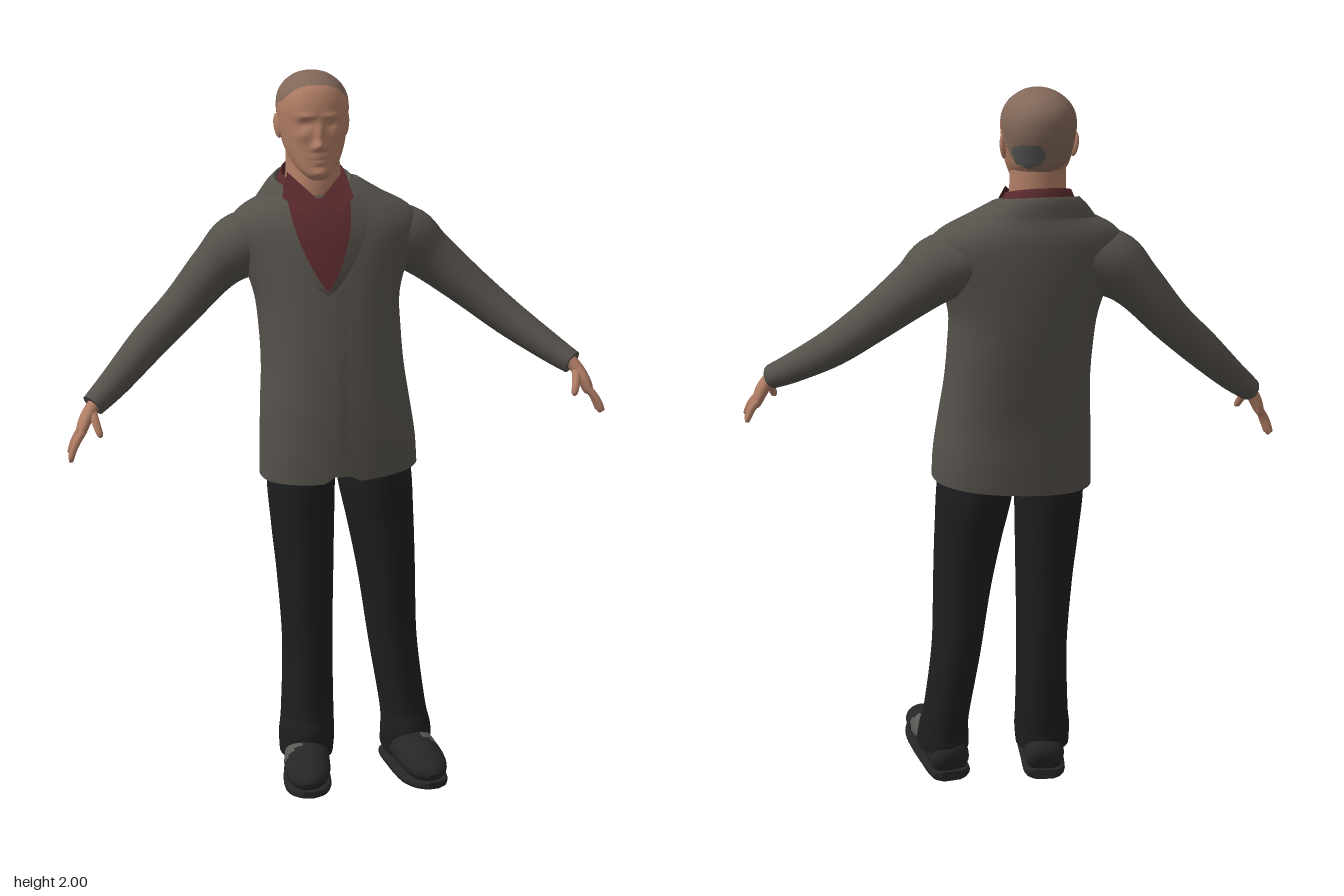
import * as THREE from 'three';

const V = (x, y, z) => new THREE.Vector3(x, y, z);
const mat = (name, color, side = THREE.FrontSide) =>
  Object.assign(new THREE.MeshStandardMaterial({ color, side }), { name });

// Smooth resampling of a table of cross-sections
function smooth(rows, n) {
  const out = [], m = rows.length - 1;
  for (let k = 0; k <= n; k++) {
    const s = (k / n) * m, i = Math.min(Math.floor(s), m - 1), t = s - i;
    const p = (j) => rows[Math.max(0, Math.min(m, j))];
    out.push(rows[0].map((_, c) => {
      const a = p(i - 1)[c], b = p(i)[c], d = p(i + 1)[c], e = p(i + 2)[c];
      return b + 0.5 * t * (d - a + t * (2 * a - 5 * b + 4 * d - e + t * (3 * (b - d) + e - a)));
    }));
  }
  return out;
}

// Linear lookup in a table sorted by its first column
function lookup(rows, key) {
  let i = 0;
  while (i < rows.length - 2 && rows[i + 1][0] < key) i++;
  const a = rows[i], b = rows[i + 1];
  const t = THREE.MathUtils.clamp((key - a[0]) / (b[0] - a[0]), 0, 1);
  return a.map((v, c) => v + (b[c] - v) * t);
}

// Skin over rings of points; pick chooses a material from the face centre
function skin(name, rings, materials, { closed = true, pick = () => 0 } = {}) {
  const n = rings[0].length, pts = rings.flat(), mats = [materials].flat();
  const faces = mats.map(() => []);
  const cols = closed ? n : n - 1;
  for (let i = 0; i < rings.length - 1; i++) for (let j = 0; j < cols; j++) {
    const a = i * n + j, b = i * n + (j + 1) % n, c = b + n, d = a + n;
    const mid = V(0, 0, 0).add(pts[a]).add(pts[b]).add(pts[c]).add(pts[d]).multiplyScalar(0.25);
    faces[pick(mid)].push(a, b, c, a, c, d);
  }
  if (closed) [rings[0], rings[rings.length - 1]].forEach((ring, end) => {
    const base = pts.length, mid = V(0, 0, 0);
    ring.forEach((p) => { pts.push(p); mid.addScaledVector(p, 1 / n); });
    pts.push(mid);
    const m = pick(mid);
    for (let j = 0; j < n; j++) {
      const a = base + j, b = base + (j + 1) % n;
      faces[m].push(base + n, ...(end ? [a, b] : [b, a]));
    }
  });
  const geo = new THREE.BufferGeometry().setFromPoints(pts);
  geo.setIndex(faces.flat());
  let start = 0;
  faces.forEach((f, i) => { geo.addGroup(start, f.length, i); start += f.length; });
  geo.computeVertexNormals();
  const mesh = new THREE.Mesh(geo, mats.length > 1 ? mats : mats[0]);
  mesh.name = name;
  return mesh;
}

// Rings along a path; rows are [x, y, z, radius along ref, radius across]
function limb(rows, n, seg, ref = V(0, 0, 1), map = (p) => p) {
  const r = smooth(rows, n), c = r.map((q) => V(q[0], q[1], q[2]));
  return r.map((q, i) => {
    const t = c[Math.min(i + 1, n)].clone().sub(c[Math.max(i - 1, 0)]).normalize();
    const u = ref.clone().addScaledVector(t, -ref.dot(t)).normalize(), v = t.clone().cross(u);
    return Array.from({ length: seg }, (_, j) => {
      const a = (j / seg) * Math.PI * 2;
      return map(c[i].clone().addScaledVector(u, q[3] * Math.cos(a)).addScaledVector(v, q[4] * Math.sin(a)));
    });
  });
}

// Horizontal rings; rows are [y, xMin, xMax, zBack, zFront, squareness]
const power = (c, e) => Math.sign(c) * Math.abs(c) ** e;
const stack = (rows, seg, map) => rows.map(([y, x0, x1, z0, z1, e], i) =>
  Array.from({ length: seg }, (_, j) => {
    const a = (j / seg) * Math.PI * 2;
    return map(V((x0 + x1) / 2 + (x1 - x0) / 2 * power(Math.sin(a), e), y,
      (z0 + z1) / 2 + (z1 - z0) / 2 * power(Math.cos(a), e)), i);
  }));

// Open sheet from a function of two parameters
const sheet = (name, m, nu, nv, fn) => skin(name,
  Array.from({ length: nv + 1 }, (_, i) => Array.from({ length: nu + 1 }, (_, j) => fn(j / nu, i / nv))),
  m, { closed: false });

export function createModel() {
  const g = new THREE.Group();
  g.name = 'standingMan';
  const jacket = mat('jacketGrey', 0x55514b, THREE.DoubleSide);
  const shirt = mat('shirtRed', 0x5a2a2d, THREE.DoubleSide);
  const trousers = mat('trouserBlack', 0x1d1e1f);
  const flesh = mat('skin', 0xb07d65);
  const hair = mat('hairBrown', 0x82685a);
  const leather = mat('shoeBlack', 0x262627);
  const grey = mat('patchGrey', 0x585855);
  const cx = -0.04;

  // Jacket body with a notched hem
  const body = smooth([
    [0.91, -0.205, 0.235, -0.215, 0.12, 0.87], [1.0, -0.203, 0.23, -0.22, 0.12, 0.87], [1.1, -0.2, 0.215, -0.225, 0.115, 0.87],
    [1.2, -0.195, 0.2, -0.24, 0.105, 0.87], [1.3, -0.198, 0.193, -0.255, 0.09, 0.87], [1.4, -0.21, 0.193, -0.265, 0.07, 0.89],
    [1.5, -0.245, 0.225, -0.27, 0.045, 0.95], [1.58, -0.275, 0.258, -0.268, 0.018, 1], [1.63, -0.245, 0.225, -0.262, -0.008, 1],
    [1.67, -0.175, 0.15, -0.248, -0.037, 1], [1.705, -0.135, 0.09, -0.235, -0.078, 1]], 40);
  g.add(skin('jacketBody', stack(body, 96, (p, i) => {
    if (i === 0) {
      p.y = 0.895 + 0.07 * (p.x + 0.2);
      if (p.z > 0) p.y += 0.04 * Math.max(0, 1 - Math.abs(p.x) / 0.045);
    }
    return p;
  }), jacket));

  // Point on the jacket front, raised by a small offset
  const front = (x, y, off) => {
    const [, x0, x1, z0, z1, e] = lookup(body, y), n = 2 / e;
    const d = Math.min(0.99, Math.abs((x - (x0 + x1) / 2) / ((x1 - x0) / 2)));
    return V(x, y, (z0 + z1) / 2 + (z1 - z0) / 2 * (1 - d ** n) ** (1 / n) + off);
  };
  const opening = (v) => 0.088 * Math.sin(v * Math.PI / 2) ** 0.85;
  const middle = (v) => -0.03 * (1 - v) + cx * v;
  g.add(sheet('shirtFront', shirt, 16, 20, (u, v) =>
    front(middle(v) + (u * 2 - 1) * opening(v), 1.43 + 0.24 * v, 0.004)));
  g.add(sheet('jacketFrontEdge', jacket, 4, 24, (u, v) =>
    front(0.03 * u - 0.012, 0.98 + 0.45 * v, 0.003 * (1 - u))));
  for (const s of [-1, 1]) {
    g.add(sheet('lapel', jacket, 6, 20, (u, v) => front(
      middle(v) + s * (opening(v) - 0.004 + u * (0.008 + 0.05 * v ** 0.6)),
      1.425 + 0.25 * v, 0.012 - 0.008 * u)));
    // Shirt collar points
    const a = V(cx + s * 0.008, 1.672, -0.03), b = V(cx + s * 0.078, 1.735, -0.088);
    const c = front(cx + s * 0.05, 1.632, 0.018), d = front(cx + s * 0.096, 1.672, 0.018);
    g.add(sheet('shirtCollarPoint', shirt, 4, 4, (u, v) =>
      a.clone().lerp(b, u).lerp(c.clone().lerp(d, u), v)));
  }

  // Collars wrapped around the neck, lower at the front
  const collar = (name, m, rows, cz, tilt, gap) => g.add(sheet(name, m, 40, 8, (u, v) => {
    const [, y, rx, rz] = lookup(rows.map((r, i) => [i / (rows.length - 1), ...r]), v);
    const a = gap + u * (Math.PI * 2 - 2 * gap);
    return V(cx + rx * Math.sin(a), y - tilt * Math.cos(a), cz + rz * Math.cos(a));
  }));
  collar('shirtCollar', shirt, [[1.67, 0.112, 0.104], [1.728, 0.087, 0.089], [1.712, 0.08, 0.083]], -0.14, 0.026, 0.8);
  collar('jacketCollar', jacket,
    [[1.655, 0.155, 0.11], [1.692, 0.128, 0.107], [1.714, 0.105, 0.098], [1.7, 0.098, 0.094]], -0.145, 0.022, 0.95);

  // Sleeves
  const sleeves = [
    [[-0.1, 1.575, -0.135, 0.1, 0.06], [-0.23, 1.53, -0.142, 0.1, 0.09], [-0.31, 1.465, -0.153, 0.078, 0.07],
      [-0.4, 1.365, -0.15, 0.065, 0.058], [-0.5, 1.27, -0.12, 0.058, 0.052], [-0.6, 1.175, -0.065, 0.046, 0.042],
      [-0.665, 1.12, -0.03, 0.038, 0.033]],
    [[0.08, 1.575, -0.135, 0.1, 0.06], [0.21, 1.538, -0.138, 0.1, 0.088], [0.29, 1.48, -0.135, 0.08, 0.072],
      [0.4, 1.39, -0.105, 0.066, 0.058], [0.5, 1.31, -0.06, 0.058, 0.05], [0.6, 1.24, 0.01, 0.045, 0.04],
      [0.655, 1.205, 0.055, 0.037, 0.033]]];
  sleeves.forEach((rows, i) => g.add(skin(i ? 'leftSleeve' : 'rightSleeve', limb(rows, 36, 28), jacket)));

  // Hands: palm, four spread fingers and a thumb
  const hand = (name, s, x, y, z, k) => {
    const h = new THREE.Group();
    h.name = name;
    h.position.set(x, y, z);
    h.add(skin('palm', limb([[-s * 0.02, 0.025, -0.01, 0.02, 0.016], [s * 0.01, -0.012, 0.006, 0.026, 0.018],
      [s * 0.03, -0.045, 0.018, 0.037, 0.017], [s * 0.042, -0.075, 0.026, 0.037, 0.013],
      [s * 0.046, -0.083, 0.028, 0.028, 0.006]], 14, 16), flesh));
    for (let f = -1.5; f <= 1.5; f++) {
      const len = k * (1 - 0.08 * f * f), bz = 0.024 + f * 0.018, tz = 0.033 + f * 0.023;
      h.add(skin('finger', limb([[s * 0.036, -0.063, bz, 0.01, 0.01], [s * 0.058, -0.07 - len * 0.4, (bz + tz) / 2 + 0.003, 0.009, 0.009],
        [s * 0.071, -0.07 - len * 0.92, tz, 0.0075, 0.007], [s * 0.072, -0.07 - len, tz, 0.002, 0.002]], 9, 10), flesh));
    }
    h.add(skin('thumb', limb([[s * 0.008, -0.02, 0.02, 0.014, 0.013], [0, -0.045, 0.05, 0.011, 0.011],
      [-s * 0.008, -0.07, 0.066, 0.009, 0.009], [-s * 0.009, -0.078, 0.069, 0.002, 0.002]], 9, 10), flesh));
    g.add(h);
  };
  hand('rightHand', -1, -0.66, 1.125, -0.03, 0.082);
  hand('leftHand', 1, 0.655, 1.205, 0.055, 0.066);

  // Trouser legs
  const legs = [
    [[-0.07, 1.0, -0.05, 0.12, 0.09], [-0.09, 0.9, -0.045, 0.135, 0.095], [-0.088, 0.75, -0.035, 0.118, 0.088],
      [-0.083, 0.6, -0.025, 0.105, 0.079], [-0.078, 0.4, -0.022, 0.094, 0.071], [-0.081, 0.2, -0.008, 0.086, 0.075],
      [-0.085, 0.13, 0.005, 0.092, 0.079], [-0.086, 0.075, 0.004, 0.086, 0.076]],
    [[0.1, 1.0, -0.05, 0.12, 0.09], [0.115, 0.9, -0.045, 0.14, 0.104], [0.134, 0.75, -0.032, 0.122, 0.093],
      [0.15, 0.6, -0.022, 0.108, 0.081], [0.168, 0.4, -0.018, 0.097, 0.069], [0.195, 0.2, 0, 0.086, 0.065],
      [0.202, 0.13, 0.013, 0.093, 0.072], [0.202, 0.085, 0.011, 0.088, 0.071]]];
  legs.forEach((rows, i) => g.add(skin(i ? 'leftTrouserLeg' : 'rightTrouserLeg', limb(rows, 48, 32), trousers)));

  // Shoes with soles and grey outer panels
  const last = [[0, 0.055, -0.077, 0.02, 0.03], [0, 0.06, -0.055, 0.055, 0.055], [0, 0.075, 0.03, 0.062, 0.06],
    [0, 0.073, 0.11, 0.052, 0.064], [0, 0.06, 0.19, 0.04, 0.062], [0, 0.05, 0.245, 0.026, 0.043], [0, 0.045, 0.268, 0.008, 0.014]];
  const shoe = (name, s, x, y, z, yaw) => {
    const f = new THREE.Group();
    f.name = name;
    f.position.set(x, y, z);
    f.rotation.y = yaw;
    const lift = (p) => { p.y += 0.024 * Math.max(0, p.z / 0.27) ** 1.2; return p; };
    f.add(skin('shoeUpper', limb(last, 40, 32, V(0, 1, 0), (p) => { p.y = Math.max(p.y, 0.024); return lift(p); }),
      [leather, grey], { pick: (p) => +(((p.z - 0.11) / 0.035) ** 2 + ((p.y - 0.1) / 0.032) ** 2 < 1 && p.x * s > 0.018) }));
    f.add(skin('sole', limb(last.map(([a, b, c, , r]) => [a, 0.018, c, 0.03, r + 0.003]), 40, 24, V(0, 1, 0),
      (p) => { p.y = THREE.MathUtils.clamp(p.y, p.z < 0.01 ? 0 : 0.009, 0.028); return lift(p); }), leather));
    g.add(f);
  };
  shoe('rightShoe', -1, -0.084, 0, -0.02, -0.12);
  shoe('leftShoe', 1, 0.2, 0.01, 0, 0.13);

  // Neck
  g.add(skin('neck', limb([[cx, 1.6, -0.14, 0.085, 0.08], [cx, 1.68, -0.13, 0.086, 0.078],
    [cx, 1.75, -0.136, 0.08, 0.074], [cx, 1.82, -0.135, 0.08, 0.073]], 12, 28), flesh));

  // Head, with the face shaped by soft bumps [x, y, depth, width, height]
  const skull = smooth([[1.72, 0.02, -0.06, -0.026, 0.95], [1.735, 0.04, -0.1, -0.014, 0.95], [1.76, 0.062, -0.16, -0.014, 0.95],
    [1.8, 0.081, -0.222, -0.016, 0.95], [1.84, 0.09, -0.243, -0.018, 0.95], [1.88, 0.096, -0.257, -0.02, 0.93],
    [1.91, 0.098, -0.262, -0.022, 0.93], [1.94, 0.093, -0.261, -0.03, 0.95], [1.967, 0.077, -0.247, -0.046, 0.97],
    [1.987, 0.052, -0.22, -0.075, 1], [1.997, 0.028, -0.18, -0.105, 1], [2.0, 0.004, -0.145, -0.137, 1]], 70)
    .map(([y, w, b, f, e]) => [y, cx - w, cx + w, b, f, e]);
  const bumps = [[0, 1.816, 0.02, 0.013, 0.013], [0, 1.845, 0.012, 0.01, 0.022], [0.014, 1.81, 0.007, 0.008, 0.007],
    [0.036, 1.872, -0.012, 0.016, 0.009], [0.036, 1.873, 0.006, 0.012, 0.004], [0.034, 1.893, 0.006, 0.024, 0.007],
    [0.045, 1.84, 0.006, 0.018, 0.014], [0, 1.784, 0.007, 0.022, 0.006], [0, 1.77, 0.006, 0.018, 0.005],
    [0, 1.777, -0.007, 0.026, 0.003], [0, 1.742, 0.007, 0.02, 0.01]];
  const hairline = [[-0.27, 1.785], [-0.22, 1.79], [-0.18, 1.83], [-0.16, 1.88], [-0.135, 1.915], [-0.09, 1.928],
    [-0.075, 1.95], [-0.055, 1.972], [0, 1.985]];
  g.add(skin('head', stack(skull, 120, (p) => {
    const dx = Math.abs(p.x - cx);
    if (p.z > -0.1) for (const [x, y, d, w, h] of bumps)
      p.z += d * Math.exp(-(((dx - x) / w) ** 2) - ((p.y - y) / h) ** 2);
    return p;
  }), [flesh, hair, grey], {
    pick: (p) => {
      if (p.z < -0.19 && ((p.x - 0.002) / 0.042) ** 2 + ((p.y - 1.84) / 0.032) ** 2 < 1) return 2;
      return +(p.y > lookup(hairline, p.z)[1]);
    },
  }));

  // Ears
  for (const s of [-1, 1]) {
    const ear = new THREE.Mesh(new THREE.SphereGeometry(1, 16, 12), flesh);
    ear.name = s > 0 ? 'leftEar' : 'rightEar';
    ear.scale.set(0.009, 0.034, 0.018);
    ear.position.set(cx + s * 0.094, 1.852, -0.148);
    ear.rotation.set(-0.2, s * -0.3, s * -0.12);
    g.add(ear);
  }
  return g;
}
